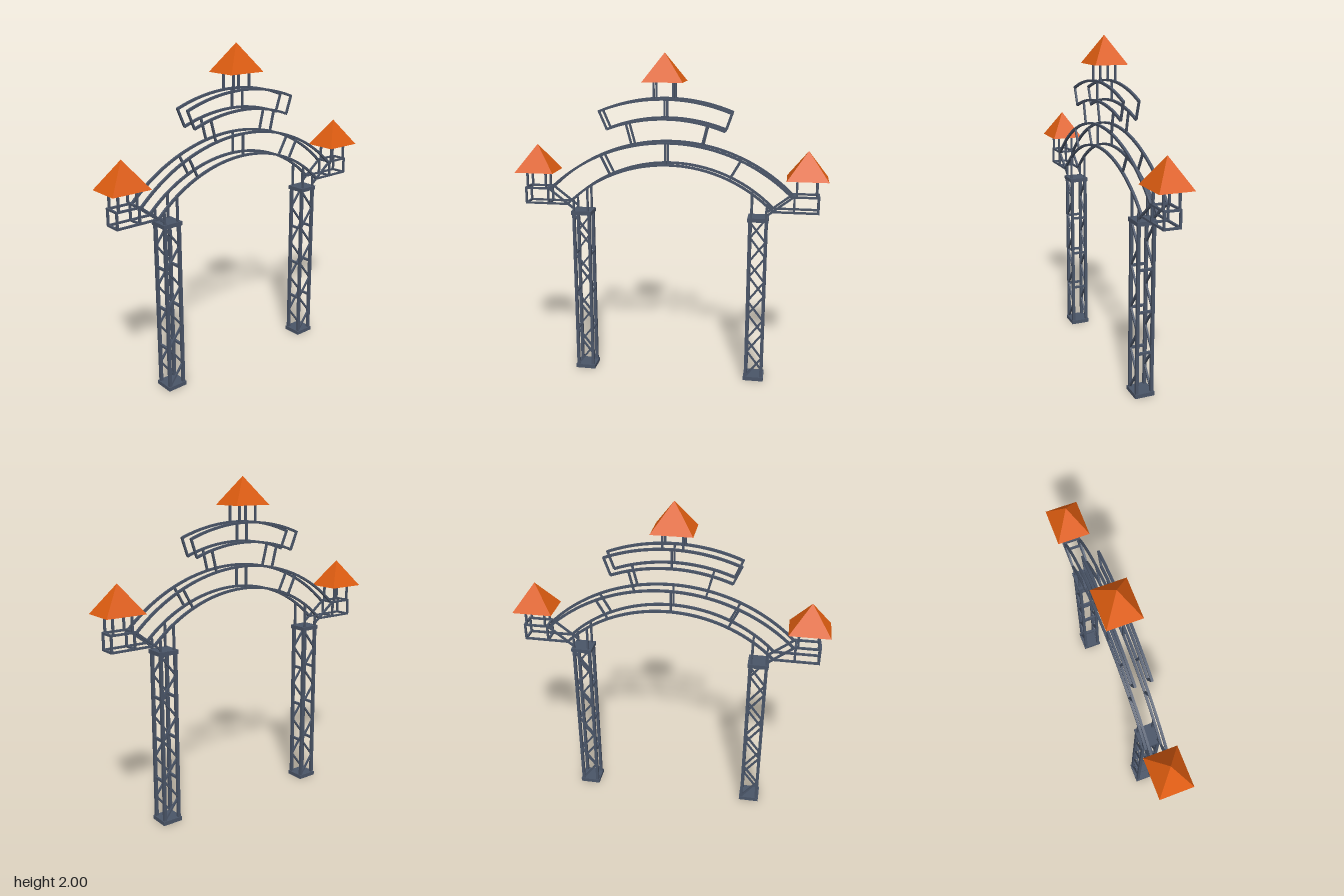
import * as THREE from 'three';

const steel = new THREE.MeshStandardMaterial({ color: 0x4a5568 });
steel.name = 'slate steel';
const orange = new THREE.MeshStandardMaterial({ color: 0xdd5c10, flatShading: true });
orange.name = 'orange roof';

const DEPTH = 0.046; // half distance between the front and back frames
const THIN = 0.012;
const UP = new THREE.Vector3(0, 1, 0);

function add(parent, name, geometry, material, x = 0, y = 0, z = 0) {
  const mesh = new THREE.Mesh(geometry, material);
  mesh.name = name;
  mesh.position.set(x, y, z);
  parent.add(mesh);
  return mesh;
}

// Square bar between two points
function bar(parent, name, a, b, t = THIN) {
  const p = new THREE.Vector3(...a), q = new THREE.Vector3(...b);
  const dir = q.clone().sub(p);
  const mid = p.clone().add(q).multiplyScalar(0.5);
  const mesh = add(parent, name, new THREE.BoxGeometry(t, dir.length(), t), steel, mid.x, mid.y, mid.z);
  mesh.quaternion.setFromUnitVectors(UP, dir.normalize());
}

// The same bar in the front and back frames
function barPair(parent, name, a, b, t = THIN) {
  for (const z of [-DEPTH, DEPTH]) bar(parent, name, [...a, z], [...b, z], t);
}

// Curved rails from peak height, half span and sag, in both frames
function archPair(parent, name, cx, peak, half, sag, t = 0.014) {
  const r = (half * half + sag * sag) / (2 * sag);
  const a = Math.asin(half / r);
  const shape = new THREE.Shape();
  shape.absarc(0, 0, r, Math.PI / 2 - a, Math.PI / 2 + a, false);
  shape.absarc(0, 0, r - t, Math.PI / 2 + a, Math.PI / 2 - a, true);
  const geometry = new THREE.ExtrudeGeometry(shape, { depth: t, bevelEnabled: false, curveSegments: 24 });
  for (const z of [-DEPTH, DEPTH]) add(parent, name, geometry, steel, cx, peak - r, z - t / 2);
}

// Pyramid roof on four posts
function pavilion(parent, name, x, floor, eave) {
  const group = new THREE.Group();
  group.name = name;
  for (const dx of [-0.058, 0.058]) {
    barPair(group, 'roofPost', [x + dx, floor], [x + dx, eave + 0.004], 0.012);
  }
  const cone = new THREE.ConeGeometry(Math.SQRT2, 1, 4).rotateY(Math.PI / 4);
  cone.scale(0.12, 0.165, 0.1);
  add(group, 'roof', cone, orange, x, eave + 0.0825, 0);
  parent.add(group);
}

function column(parent, side) {
  const group = new THREE.Group();
  group.name = side < 0 ? 'rightColumn' : 'leftColumn';
  const x = side * 0.54, w = 0.048;
  const plate = new THREE.BoxGeometry(0.125, 0.024, 0.12);
  add(group, 'basePlate', plate, steel, x, 0.012, 0);
  add(group, 'topPlate', plate, steel, x, 1.037, 0);
  for (const dx of [-w, w]) {
    barPair(group, 'cornerPost', [x + dx, 0.02], [x + dx, 1.03], 0.018);
    for (const y of [0.27, 0.52, 0.77]) bar(group, 'sideRung', [x + dx, y, -DEPTH], [x + dx, y, DEPTH], 0.014);
  }
  // Zigzag lattice, mirrored between front and back
  const n = 8, y0 = 0.025, step = 1 / n;
  for (const f of [-1, 1]) {
    for (let i = 0; i < n; i++) {
      const d = w * f * (i % 2 ? -1 : 1);
      bar(group, 'lattice', [x - d, y0 + i * step, f * DEPTH], [x + d, y0 + (i + 1) * step, f * DEPTH], 0.011);
    }
  }
  // Short posts that carry the arch
  barPair(group, 'innerArchPost', [side * 0.499, 1.04], [side * 0.499, 1.2]);
  barPair(group, 'outerArchPost', [side * 0.587, 1.04], [side * 0.587, 1.115]);
  parent.add(group);
}

function sideFrame(parent, side) {
  const group = new THREE.Group();
  group.name = side < 0 ? 'rightBracket' : 'leftBracket';
  const inner = side * 0.748, outer = side * 0.888, low = 1.09, high = 1.183;
  barPair(group, 'lowerRail', [side * 0.625, low], [side * 0.894, low]);
  barPair(group, 'upperRail', [side * 0.735, high], [side * 0.894, high]);
  for (const x of [inner, outer]) {
    barPair(group, 'upright', [x, low], [x, high]);
    for (const y of [low, high]) bar(group, 'crossTie', [x, y, -DEPTH], [x, y, DEPTH]);
  }
  barPair(group, 'archEnd', [side * 0.738, 1.18], [side * 0.592, 1.067]);
  pavilion(group, 'sidePavilion', side * 0.818, high, 1.285);
  parent.add(group);
}

export function createModel() {
  const model = new THREE.Group();
  model.name = 'archGate';

  for (const side of [-1, 1]) {
    column(model, side);
    sideFrame(model, side);
  }

  // Main arch
  const arch = new THREE.Group();
  arch.name = 'mainArch';
  archPair(arch, 'outerRail', 0, 1.488, 0.74, 0.303);
  archPair(arch, 'innerRail', 0, 1.357, 0.63, 0.262);
  barPair(arch, 'rib', [-0.015, 1.35], [-0.015, 1.48]);
  barPair(arch, 'rib', [-0.41, 1.397], [-0.355, 1.285]);
  barPair(arch, 'rib', [0.43, 1.385], [0.37, 1.28]);
  model.add(arch);

  // Crown arch above it
  const crown = new THREE.Group();
  crown.name = 'crownArch';
  archPair(crown, 'outerRail', -0.021, 1.743, 0.398, 0.077);
  archPair(crown, 'innerRail', -0.016, 1.628, 0.355, 0.066);
  barPair(crown, 'endBar', [-0.414, 1.664], [-0.367, 1.555]);
  barPair(crown, 'endBar', [0.373, 1.664], [0.336, 1.557]);
  barPair(crown, 'rib', [-0.02, 1.62], [-0.02, 1.735]);
  barPair(crown, 'strut', [-0.252, 1.592], [-0.217, 1.46]);
  barPair(crown, 'strut', [0.231, 1.592], [0.2, 1.465]);
  pavilion(crown, 'topPavilion', -0.026, 1.735, 1.835);
  model.add(crown);

  return model;
}
